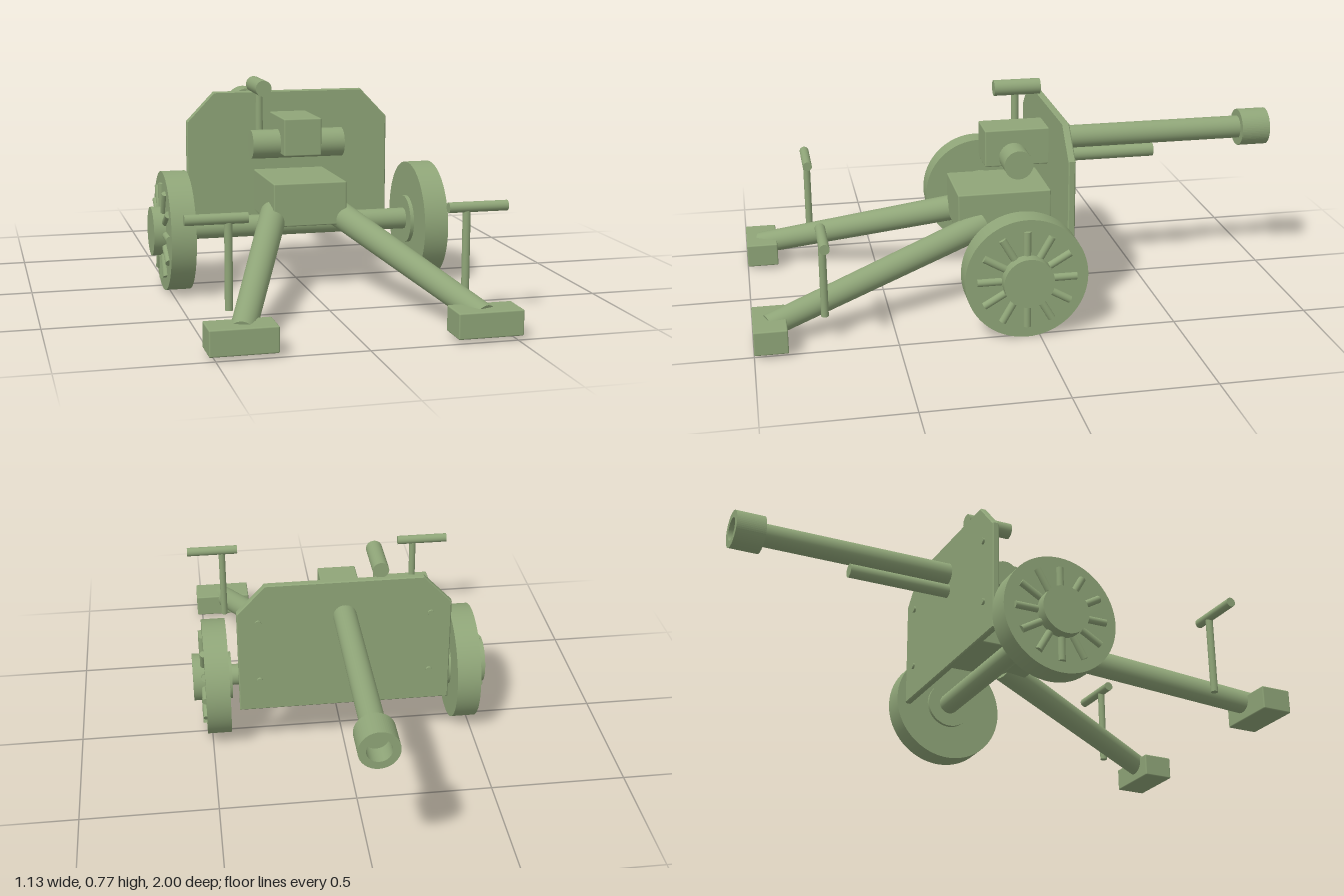
import * as THREE from 'three';
import { RoundedBoxGeometry } from 'three/addons/geometries/RoundedBoxGeometry.js';

export function createModel() {
  const model = new THREE.Group();
  model.name = 'fieldGun';
  const olive = new THREE.MeshStandardMaterial({ color: 0x8fa578 });
  olive.name = 'olive green';

  const add = (name, geometry, parent = model) => {
    const mesh = new THREE.Mesh(geometry, olive);
    mesh.name = name;
    parent.add(mesh);
    return mesh;
  };
  const box = (name, size, pos, parent) => {
    const mesh = add(name, new RoundedBoxGeometry(...size, 2, 0.005), parent);
    mesh.position.set(...pos);
    return mesh;
  };
  // Round bar between two points, optionally tapered
  const rod = (name, from, to, r0, r1 = r0, parent = model, sides = 32) => {
    const a = new THREE.Vector3(...from), b = new THREE.Vector3(...to);
    const dir = b.clone().sub(a);
    const mesh = add(name, new THREE.CylinderGeometry(r1, r0, dir.length(), sides), parent);
    mesh.position.copy(a).add(b).multiplyScalar(0.5);
    mesh.quaternion.setFromUnitVectors(new THREE.Vector3(0, 1, 0), dir.normalize());
    return mesh;
  };

  // Carriage, breech and trunnion
  box('carriage', [0.274, 0.16, 0.35], [0, 0.33, 0.052]);
  box('breech', [0.142, 0.14, 0.255], [0, 0.561, -0.014]);
  rod('trunnion', [-0.176, 0.526, 0.007], [0.176, 0.526, 0.007], 0.054);
  rod('axle', [-0.45, 0.224, 0.045], [0.45, 0.224, 0.045], 0.04);

  // Barrel with hollow muzzle and recoil cylinder below
  rod('barrel', [0, 0.57, -0.1], [0, 0.57, -0.93], 0.043);
  rod('recoilCylinder', [0, 0.5, -0.1], [0, 0.5, -0.55], 0.026);
  const ring = new THREE.Shape().absarc(0, 0, 0.07, 0, Math.PI * 2, false);
  ring.holes.push(new THREE.Path().absarc(0, 0, 0.043, 0, Math.PI * 2, true));
  add('muzzle', new THREE.ExtrudeGeometry(ring, { depth: 0.11, bevelEnabled: false, curveSegments: 32 }))
    .position.set(0, 0.568, -1);

  // Shield with clipped upper corners
  const plate = new THREE.Shape([
    [-0.391, 0.191], [0.391, 0.191], [0.391, 0.599], [0.288, 0.707], [-0.288, 0.707], [-0.391, 0.599],
  ].map(([x, y]) => new THREE.Vector2(x, y)));
  add('shield', new THREE.ExtrudeGeometry(plate, {
    depth: 0.018, bevelSize: 0.004, bevelThickness: 0.004, bevelSegments: 1,
  })).position.z = -0.148;

  // Sight
  rod('sightPost', [-0.133, 0.53, -0.04], [-0.133, 0.737, -0.04], 0.014);
  rod('sightScope', [-0.133, 0.738, -0.135], [-0.133, 0.738, 0.043], 0.03);

  for (const s of [1, -1]) {
    const side = s > 0 ? 'left' : 'right';

    // Shield rivets
    for (const y of [0.315, 0.56]) {
      rod(side + 'Rivet', [s * 0.318, y, -0.14], [s * 0.318, y, -0.16], 0.012, 0.012, model, 16);
    }

    // Wheel, hub and radial ribs
    const wheel = new THREE.Group();
    wheel.name = side + 'Wheel';
    wheel.position.set(s * 0.474, 0.222, 0.048);
    model.add(wheel);
    rod('tyre', [-0.045, 0, 0], [0.045, 0, 0], 0.22, 0.22, wheel, 64);
    rod('hub', [-s * 0.059, 0, 0], [s * 0.089, 0, 0], 0.09, 0.09, wheel, 48);
    for (let i = 0; i < 12; i++) {
      const a = (i / 12) * Math.PI * 2, y = Math.cos(a), z = Math.sin(a);
      rod('rib', [s * 0.046, y * 0.092, z * 0.092], [s * 0.046, y * 0.178, z * 0.178], 0.0135, 0.0135, wheel, 16);
    }

    // Trail leg, foot and lifting handle
    rod(side + 'Trail', [s * 0.117, 0.284, 0.135], [s * 0.405, 0.072, 0.945], 0.05, 0.042);
    box(side + 'Foot', [0.225, 0.088, 0.118], [s * 0.408, 0.059, 0.941]);
    rod(side + 'HandlePost', [s * 0.408, 0.095, 0.748], [s * 0.408, 0.4, 0.748], 0.0135);
    rod(side + 'HandleBar', [s * 0.343, 0.4, 0.748], [s * 0.553, 0.4, 0.748], 0.018);
  }
  return model;
}
